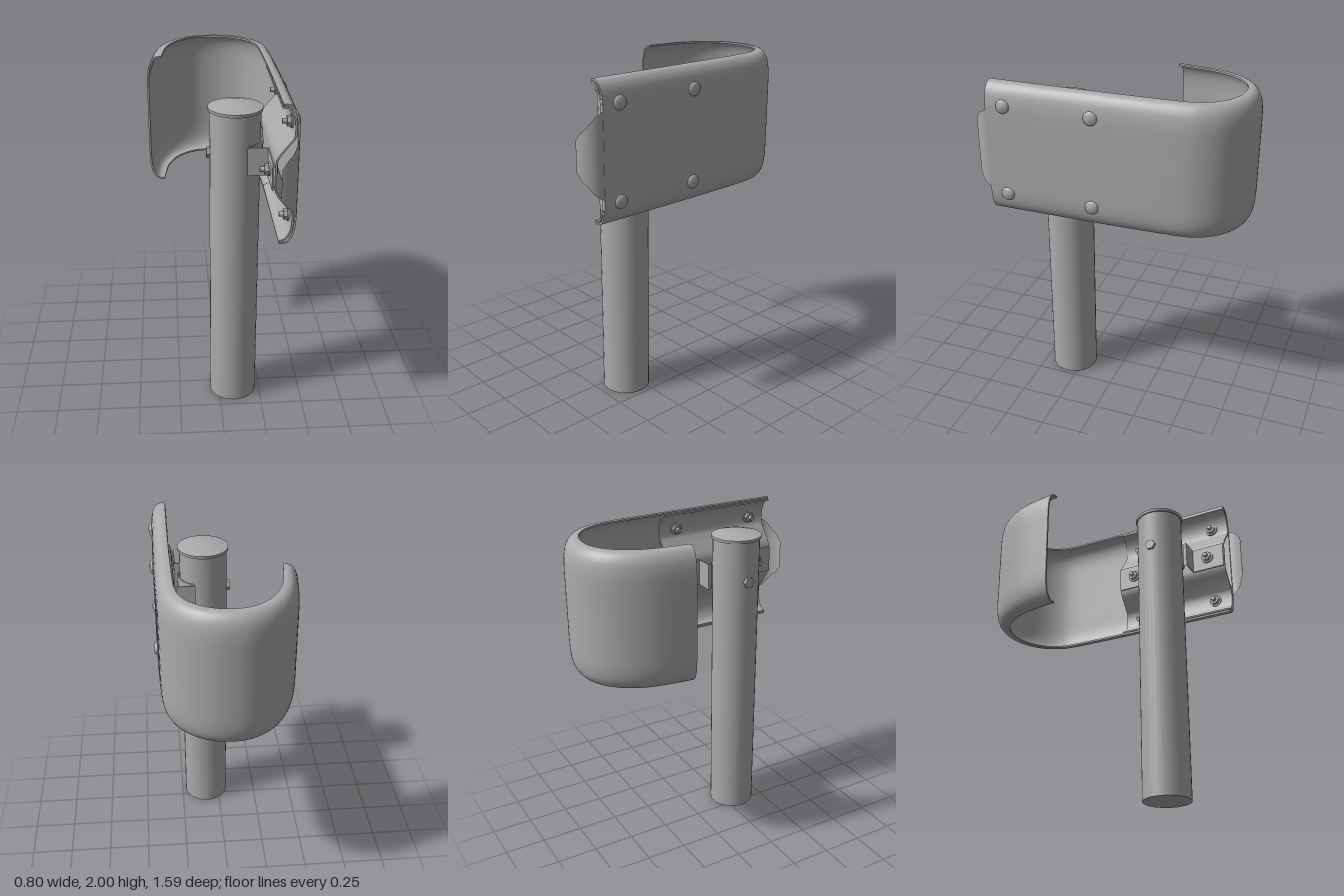
import * as THREE from 'three';
import { toCreasedNormals } from 'three/addons/utils/BufferGeometryUtils.js';

const MID = 1.605; // height of the barrier's centre line
const V = (x, y) => new THREE.Vector2(x, y);

// Closed loop around an open line; thickness goes to the line's right side
function thicken(line, t) {
  const inner = line.map((p, i) => {
    const a = line[Math.max(i - 1, 0)], b = line[Math.min(i + 1, line.length - 1)];
    const d = b.clone().sub(a).normalize();
    return V(p.x + d.y * t, p.y - d.x * t);
  });
  return [...line, ...inner.reverse()];
}

// Mirrors a half section (depth, height above centre) to a full one, top to bottom
const mirrored = half => [...half, ...half.slice().reverse().map(p => V(p.x, -p.y))];

// Sweeps a section (depth, height) along a plan path of (x, z) points
function sweep(line, t, path) {
  const loop = thicken(line, -t), n = loop.length, m = line.length, pos = [], idx = [];
  path.forEach((p, i) => {
    const a = path[Math.max(i - 1, 0)], b = path[Math.min(i + 1, path.length - 1)];
    const d = b.clone().sub(a).normalize();
    for (const s of loop) pos.push(p.x + d.y * s.x, MID + s.y, p.y - d.x * s.x);
  });
  for (let u = 0; u < path.length - 1; u++) for (let s = 0; s < n; s++) {
    const a = u * n + s, b = u * n + (s + 1) % n;
    idx.push(a, b, a + n, b, b + n, a + n);
  }
  const e = (path.length - 1) * n;
  for (let i = 0; i < m - 1; i++) {
    const a = i, b = i + 1, c = n - 1 - i, d = n - 2 - i;
    idx.push(a, c, b, b, c, d, e + a, e + b, e + c, e + b, e + d, e + c);
  }
  const g = new THREE.BufferGeometry();
  g.setAttribute('position', new THREE.Float32BufferAttribute(pos, 3));
  g.setIndex(idx);
  return toCreasedNormals(g, 0.7);
}

export function createModel() {
  const root = new THREE.Group();
  const steel = new THREE.MeshStandardMaterial({ color: 0xaaaaaa });
  steel.name = 'galvanised steel';
  steel.side = THREE.DoubleSide;
  const add = (name, geo, parent = root) => {
    const mesh = new THREE.Mesh(geo, steel);
    mesh.name = name;
    parent.add(mesh);
    return mesh;
  };

  // Post with a shallow conical cap
  add('post', new THREE.CylinderGeometry(0.142, 0.142, 1.86, 32)).position.set(0.085, 0.93, 0.315);
  const cap = [V(0, 1.85), V(0.15, 1.85), V(0.152, 1.868), V(0.09, 1.884), V(0, 1.895)];
  add('postCap', toCreasedNormals(new THREE.LatheGeometry(cap, 32), 0.6)).position.set(0.085, 0, 0.315);

  // Hooked end wing with rolled upper and lower edges
  const hook = new THREE.SplineCurve([
    V(0.383, 0), V(0.378, -0.25), V(0.368, -0.47), V(0.34, -0.58), V(0.285, -0.67), V(0.2, -0.742),
    V(0.1, -0.785), V(0, -0.797), V(-0.1, -0.784), V(-0.2, -0.735), V(-0.285, -0.65), V(-0.345, -0.54),
    V(-0.378, -0.42), V(-0.4, -0.24),
  ]).getPoints(52);
  const rim = new THREE.SplineCurve([
    V(0.09, 0.393), V(0.06, 0.391), V(0.035, 0.375), V(0.013, 0.335), V(0.002, 0.27), V(0, 0.18),
  ]).getPoints(15);
  add('endWing', sweep(mirrored(rim), 0.011, [V(0.385, 0.685), V(0.385, 0.3), ...hook]));

  // Corrugated rail nested inside the wing
  const railHalf = [
    V(0.08, 0.38), V(0.05, 0.375), V(0.027, 0.352), V(0.008, 0.31), V(0.002, 0.27), V(0.002, 0.225),
    V(0.012, 0.2), V(0.08, 0.115), V(0.094, 0.09), V(0.098, 0.065),
  ];
  add('rail', sweep(mirrored(railHalf), 0.01, [V(0.372, 0.684), V(0.372, -0.06)]));

  // Curved tongue closing the open end of the rail
  const halfHeight = new THREE.SplineCurve([
    V(0, 0.235), V(0.2, 0.222), V(0.4, 0.195), V(0.6, 0.155), V(0.8, 0.128), V(1, 0.085),
  ]);
  const tongue = new THREE.PlaneGeometry(1, 1, 12, 10);
  const tp = tongue.attributes.position;
  for (let i = 0; i < tp.count; i++) {
    const u = 0.5 - tp.getX(i), a = u * 1.4;
    tp.setXYZ(i, 0.383 - 0.118 * (1 - Math.cos(a)),
      MID + tp.getY(i) * 2 * halfHeight.getPoint(u).y, 0.684 + 0.107 * Math.sin(a));
  }
  tongue.computeVertexNormals();
  add('endTongue', tongue);

  // Bracket: two flanges, two legs and a saddle around the post
  const plan = [V(0.25, -0.055), V(0.25, 0.155), V(0.14, 0.155)];
  for (let i = 0; i <= 12; i++) {
    const a = -1.13 + i * 2.26 / 12;
    plan.push(V(0.085 + 0.148 * Math.cos(a), 0.315 + 0.148 * Math.sin(a)));
  }
  plan.push(V(0.14, 0.475), V(0.25, 0.475), V(0.25, 0.68));
  const bracket = new THREE.ExtrudeGeometry(new THREE.Shape(thicken(plan, 0.008)),
    { depth: 0.16, bevelEnabled: false });
  bracket.rotateX(Math.PI / 2);
  add('postBracket', bracket).position.y = MID + 0.08;

  // Bolts: domed head on the outside, washer, hex nut and shank on the inside
  const rod = (r, len, sides) => new THREE.CylinderGeometry(r, r, len, sides).rotateZ(Math.PI / 2);
  const dome = new THREE.LatheGeometry(
    [V(0.041, 0), V(0.038, 0.008), V(0.025, 0.015), V(0, 0.019)], 20).rotateZ(-Math.PI / 2);
  function bolt(name, headX, nutX, y, z) {
    const g = new THREE.Group();
    g.name = name;
    g.position.set(0, y, z);
    root.add(g);
    add('head', dome, g).position.x = headX;
    add('washer', rod(0.038, 0.01, 20), g).position.x = nutX - 0.005;
    add('nut', toCreasedNormals(rod(0.03, 0.022, 6), 0.5), g).position.x = nutX - 0.02;
    const end = nutX - 0.055;
    add('shank', rod(0.014, headX - end, 12), g).position.x = (headX + end) / 2;
  }
  for (const z of [0.05, 0.575]) {
    for (const s of [-1, 1]) bolt('railBolt', 0.383, 0.36, MID + s * 0.267, z);
    bolt('bracketBolt', 0.275, 0.25, MID, z);
  }

  // Through bolt head on the far side of the post
  add('postBoltHead', toCreasedNormals(rod(0.033, 0.03, 6), 0.5)).position.set(-0.06, MID, 0.315);
  return root;
}
